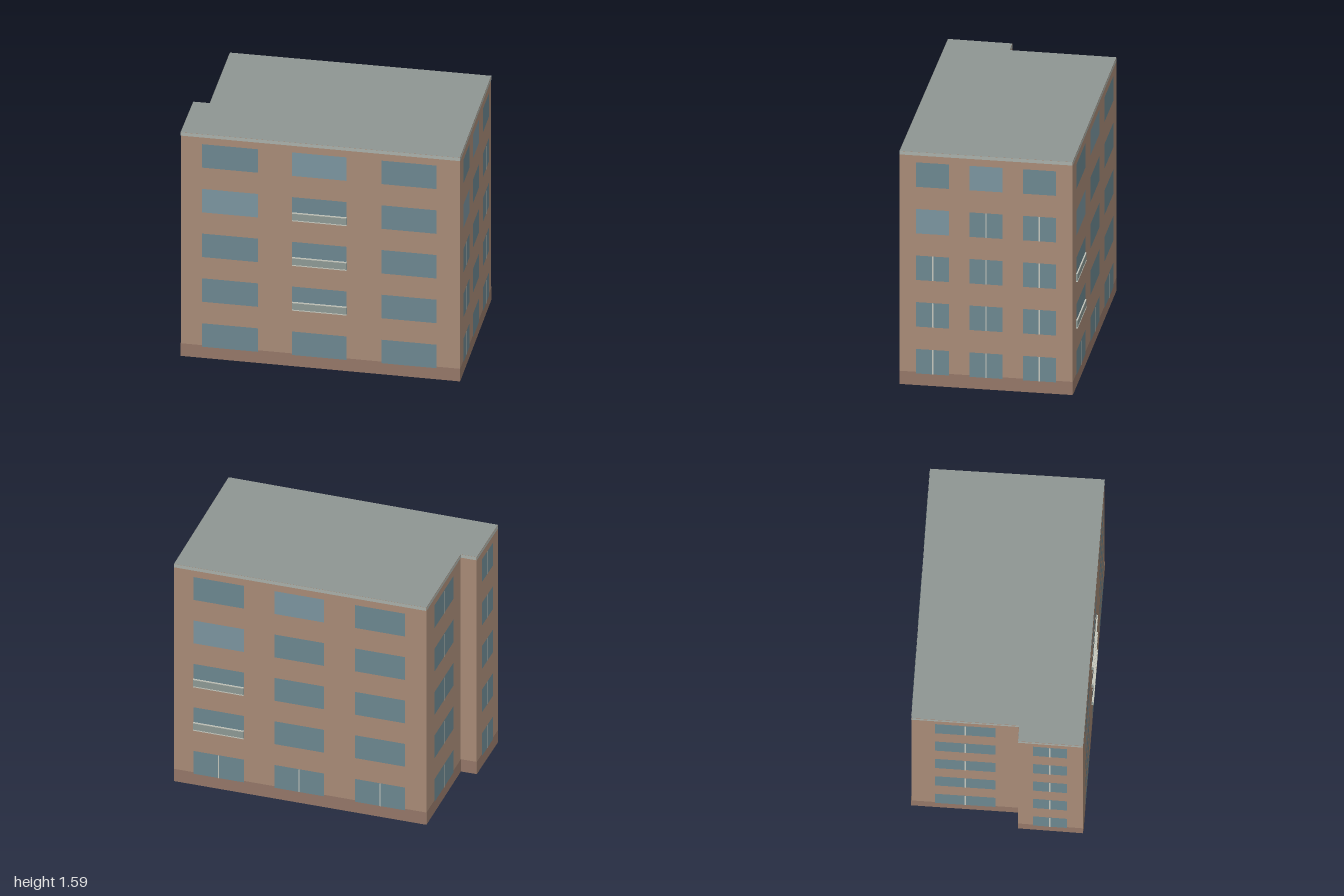
import * as THREE from 'three';

const mat = (color) => new THREE.MeshStandardMaterial({ color, side: THREE.DoubleSide });

const HEIGHT = 1.59;
const SILLS = [0.08, 0.4, 0.718, 1.036, 1.354];
const WINDOW_H = 0.167;

// Footprint corners (x, z), counter-clockwise seen from above
const CORNERS = [[-0.92, -0.54], [-0.02, 0.995], [0.92, 0.43], [0.07, -1], [-0.513, -0.655], [-0.567, -0.745]];

// Per wall: window spans as fractions of its length, divided windows, balconies (column, floor)
const three = [[0.077, 0.277], [0.399, 0.595], [0.719, 0.917]];
const FACADES = [
  { name: 'longWallRight', spans: three, divided: () => false, balconies: [[1, 1], [1, 2], [1, 3]], bright: true },
  { name: 'endWallFront', spans: [[0.096, 0.287], [0.404, 0.596], [0.713, 0.904]], divided: (c, f) => f < 3 || (f === 3 && c > 0), balconies: [], bright: true },
  { name: 'longWallLeft', spans: three, divided: (c, f) => f === 0, balconies: [[0, 1], [0, 2]], bright: true },
  { name: 'endWallBack', spans: [[0.22, 0.78]], divided: () => true, balconies: [] },
  { name: 'notchWall', spans: [], divided: () => false, balconies: [] },
  { name: 'endWallBackStep', spans: [[0.23, 0.75]], divided: () => true, balconies: [] },
];

export function createModel() {
  const building = new THREE.Group();
  building.name = 'apartmentBuilding';
  const M = {
    wall: mat(0xa88b77), plinth: mat(0x947768), cornice: mat(0xaab0aa), roof: mat(0x8f9693),
    glass: mat(0x6c8790), brightGlass: mat(0x7b949f), panel: mat(0x8d9994), trim: mat(0xc4c6bc),
  };

  // Flat rectangle on a wall, from (x0, y0) to (x1, y1), at a small distance z
  const sheet = (parent, name, material, x0, x1, y0, y1, z) => {
    const mesh = new THREE.Mesh(new THREE.PlaneGeometry(x1 - x0, y1 - y0), material);
    mesh.position.set((x0 + x1) / 2, (y0 + y1) / 2, z);
    mesh.name = name;
    parent.add(mesh);
  };
  // Box standing on the wall surface
  const block = (parent, name, material, x0, x1, y0, y1, depth) => {
    const mesh = new THREE.Mesh(new THREE.BoxGeometry(x1 - x0, y1 - y0, depth), material);
    mesh.position.set((x0 + x1) / 2, (y0 + y1) / 2, depth / 2);
    mesh.name = name;
    parent.add(mesh);
  };

  FACADES.forEach((f, i) => {
    const [ax, az] = CORNERS[i];
    const [bx, bz] = CORNERS[(i + 1) % CORNERS.length];
    const length = Math.hypot(bx - ax, bz - az);

    // Local x runs along the wall, local z points outward
    const facade = new THREE.Group();
    facade.name = f.name;
    facade.position.set(ax, 0, az);
    facade.rotation.y = Math.atan2(az - bz, bx - ax);
    building.add(facade);

    sheet(facade, 'wall', M.wall, 0, length, 0, HEIGHT, 0);
    sheet(facade, 'plinth', M.plinth, 0, length, 0, 0.09, 0.002);
    sheet(facade, 'cornice', M.cornice, 0, length, 1.567, HEIGHT, 0.002);

    // Windows
    f.spans.forEach(([s0, s1], col) => {
      const x0 = s0 * length, x1 = s1 * length, mid = (x0 + x1) / 2;
      SILLS.forEach((y, floor) => {
        const bright = f.bright && floor - col === 3;
        sheet(facade, 'window', bright ? M.brightGlass : M.glass, x0, x1, y, y + WINDOW_H, 0.004);
        if (f.divided(col, floor)) sheet(facade, 'mullion', M.trim, mid - 0.004, mid + 0.004, y, y + WINDOW_H, 0.006);
      });
    });

    // Shallow balconies: panel with a slab below and a rail on top
    f.balconies.forEach(([col, floor]) => {
      const [x0, x1] = f.spans[col].map((s) => s * length);
      const y = SILLS[floor];
      const balcony = new THREE.Group();
      balcony.name = 'balcony';
      facade.add(balcony);
      block(balcony, 'balconySlab', M.trim, x0, x1, y, y + 0.006, 0.012);
      block(balcony, 'balconyPanel', M.panel, x0, x1, y + 0.006, y + 0.053, 0.01);
      block(balcony, 'balconyRail', M.trim, x0, x1, y + 0.053, y + 0.059, 0.012);
    });
  });

  // Flat roof over the footprint
  const outline = new THREE.Shape(CORNERS.map(([x, z]) => new THREE.Vector2(x, -z)));
  const roof = new THREE.Mesh(new THREE.ShapeGeometry(outline).rotateX(-Math.PI / 2), M.roof);
  roof.position.y = HEIGHT;
  roof.name = 'roof';
  building.add(roof);

  return building;
}
